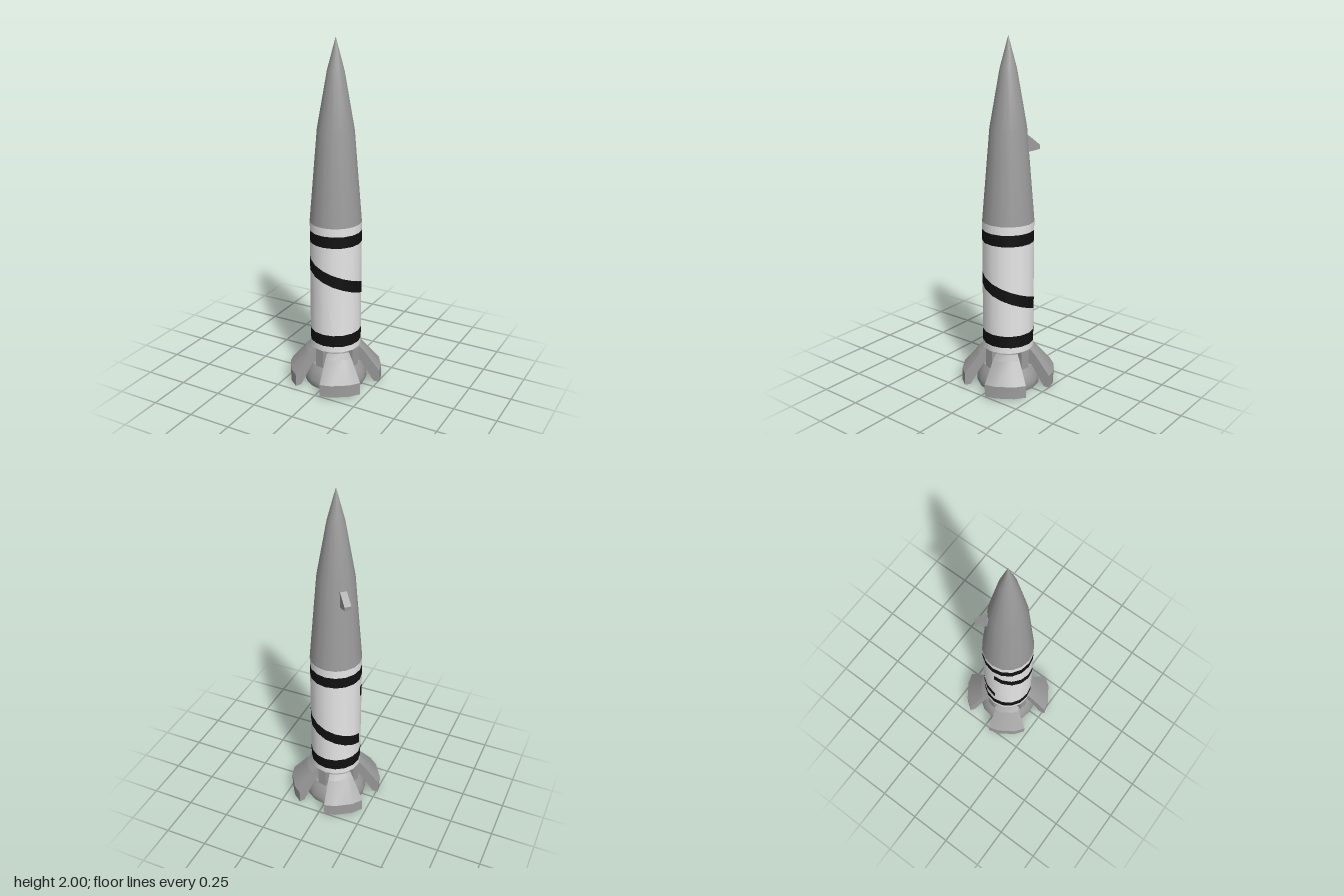
import * as THREE from 'three';
import { toCreasedNormals } from 'three/addons/utils/BufferGeometryUtils.js';

const SIDES = 16;
const R = 0.147;
const deg = Math.PI / 180;

// Solid made by sweeping a counter-clockwise (radius, height) section around y
function sweep(section, angles) {
  const pos = [];
  const at = ([r, y], a) => [r * Math.cos(a * deg), y, -r * Math.sin(a * deg)];
  const tri = (a, b, c) => pos.push(...a, ...b, ...c);
  for (let i = 0; i < angles.length - 1; i++) {
    const a0 = angles[i], a1 = angles[i + 1];
    section.forEach((p, j) => {
      const q = section[(j + 1) % section.length];
      tri(at(p, a0), at(p, a1), at(q, a1));
      tri(at(p, a0), at(q, a1), at(q, a0));
    });
  }
  const first = angles[0], last = angles[angles.length - 1];
  const faces = THREE.ShapeUtils.triangulateShape(section.map(p => new THREE.Vector2(...p)), []);
  for (const [a, b, c] of faces) {
    tri(at(section[a], first), at(section[b], first), at(section[c], first));
    tri(at(section[a], last), at(section[c], last), at(section[b], last));
  }
  const g = new THREE.BufferGeometry();
  g.setAttribute('position', new THREE.Float32BufferAttribute(pos, 3));
  return toCreasedNormals(g, 0.6);
}

function lathe(points) {
  return new THREE.LatheGeometry(points.map(p => new THREE.Vector2(...p)), SIDES);
}

// One-turn spiral band that hugs the faceted body
function spiralBand(yStart, yEnd, height, startAngle) {
  const steps = 96, pos = [], nor = [], idx = [];
  const half = Math.PI / SIDES;
  for (let i = 0; i <= steps; i++) {
    const t = i / steps;
    const a = startAngle + t * Math.PI * 2;
    const local = ((a % (2 * half)) + 2 * half) % (2 * half) - half;
    const r = (R + 0.0012) * Math.cos(half) / Math.cos(local);
    const y = yStart + (yEnd - yStart) * t;
    for (const s of [-0.5, 0.5]) {
      pos.push(r * Math.sin(a), y + s * height, r * Math.cos(a));
      nor.push(Math.sin(a), 0, Math.cos(a));
    }
    if (i < steps) {
      const k = i * 2;
      idx.push(k, k + 2, k + 3, k, k + 3, k + 1);
    }
  }
  const g = new THREE.BufferGeometry();
  g.setAttribute('position', new THREE.Float32BufferAttribute(pos, 3));
  g.setAttribute('normal', new THREE.Float32BufferAttribute(nor, 3));
  g.setIndex(idx);
  return g;
}

export function createModel() {
  const group = new THREE.Group();
  const material = (name, color) => {
    const m = new THREE.MeshStandardMaterial({ color });
    m.name = name;
    return m;
  };
  const white = material('white', 0xe8e8e8);
  const grey = material('grey', 0x9c9c9c);
  const black = material('black', 0x111111);
  const add = (name, geometry, mat) => {
    const mesh = new THREE.Mesh(geometry, mat);
    mesh.name = name;
    group.add(mesh);
    return mesh;
  };

  // Nose cone
  add('noseCone', lathe([[R, 0.987], [0.103, 1.51], [0.047, 1.825], [0, 2]]), grey);

  // Body, stacked in white and black rings
  const levels = [0.235, 0.27, 0.34, 0.873, 0.939, 0.987];
  for (let i = 0; i < levels.length - 1; i++) {
    const dark = i % 2 === 1;
    add(dark ? 'bodyBand' : 'bodySection', lathe([[R, levels[i]], [R, levels[i + 1]]]), dark ? black : white);
  }
  add('bodyBase', lathe([[0, 0.235], [R, 0.235]]), grey);
  add('spiralStripe', spiralBand(0.78, 0.44, 0.07, -87 * deg), black);

  // Engine core and hollow nozzle
  add('engineCore', lathe([[0.122, 0.1], [0.122, 0.236]]), grey);
  add('nozzle', toCreasedNormals(lathe([
    [0, 0.12], [0.1, 0.12], [0.147, 0], [0.177, 0], [0.183, 0.018],
    [0.183, 0.045], [0.168, 0.09], [0.15, 0.125], [0.12, 0.13],
  ]), 0.6), grey);

  // Four curved fins with collars, and struts in the gaps between them
  const angles = [8.7, 22.5, 45, 59.6];
  const finGeometry = sweep([
    [0.12, 0.2], [0.12, 0.14], [0.155, 0.135], [0.235, 0.015],
    [0.27, 0.015], [0.27, 0.088], [0.176, 0.2],
  ], angles);
  const collarGeometry = sweep([[0.12, 0.2], [0.176, 0.2], [0.147, 0.227], [0.12, 0.227]], angles);
  const strutGeometry = new THREE.BoxGeometry(0.043, 0.118, 0.055).translate(0.1255, 0.176, 0);
  for (let i = 0; i < 4; i++) {
    const turn = i * Math.PI / 2;
    add('fin', finGeometry, grey).rotation.y = turn;
    add('finCollar', collarGeometry, grey).rotation.y = turn;
    add('strut', strutGeometry, grey).rotation.y = turn + 79.15 * deg;
  }

  // Small wedge tab on the rear of the nose
  const tab = new THREE.Shape([
    [0.085, 1.37], [0.112, 1.376], [0.171, 1.39], [0.173, 1.41], [0.108, 1.465], [0.085, 1.465],
  ].map(p => new THREE.Vector2(...p)));
  const tabGeometry = new THREE.ExtrudeGeometry(tab, { depth: 0.038, bevelEnabled: false }).translate(0, 0, -0.019);
  add('noseTab', tabGeometry, grey).rotation.y = 135 * deg;

  return group;
}
